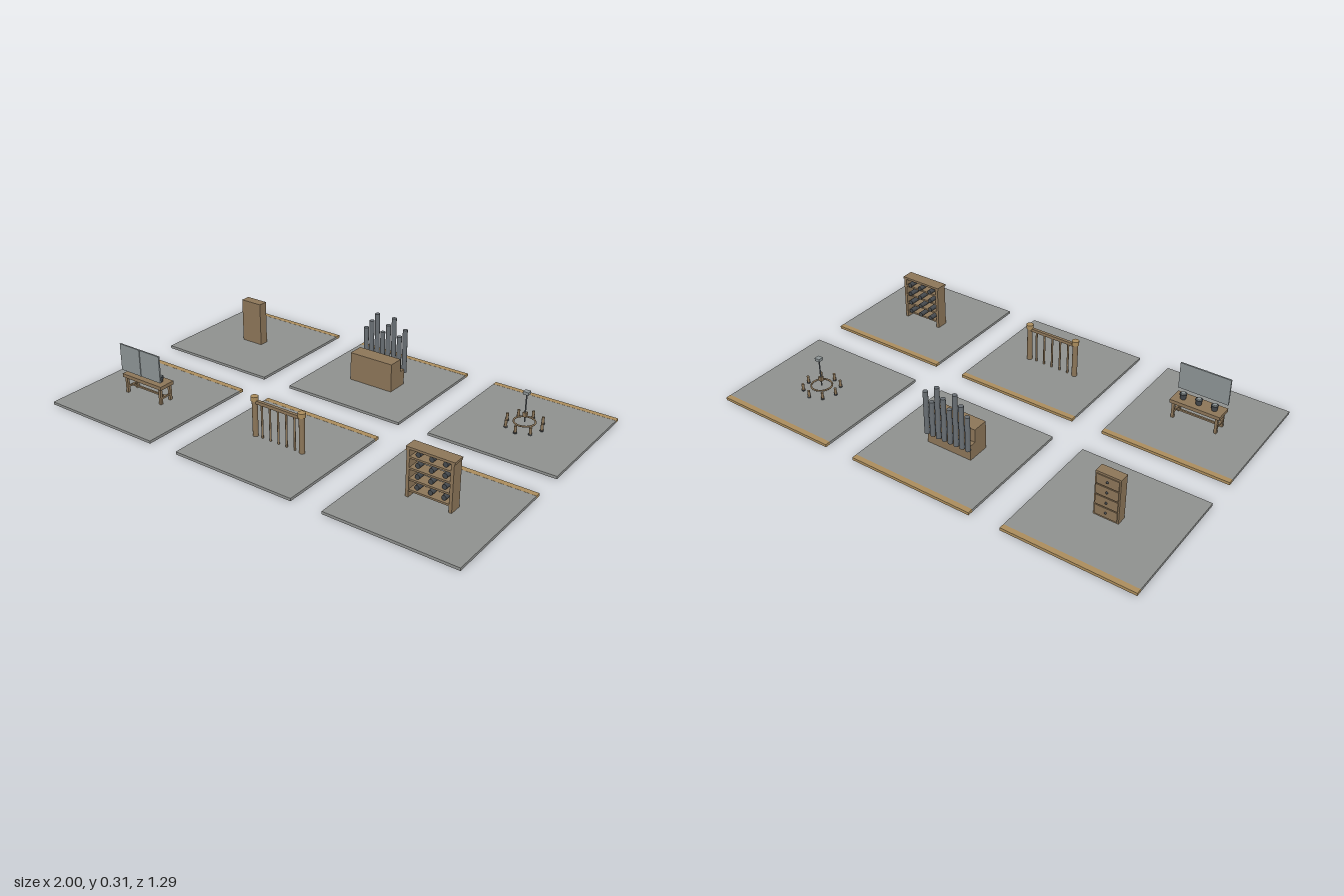
import * as THREE from 'three';

const mat = (name, color) => {
  const m = new THREE.MeshStandardMaterial({ color });
  m.name = name;
  return m;
};

export function createModel() {
  const stone = mat('stone grey', 0x8e908e);
  const wood = mat('brown wood', 0x8b7558);
  const tan = mat('tan wood', 0xaa8c5c);
  const metal = mat('pipe metal', 0x676d72);
  const dark = mat('dark glass', 0x45494d);
  const pale = mat('pale panel', 0x8b9394);
  const root = new THREE.Group();
  const G = 0.012; // top of the base plates

  const add = (parent, name, geo, material, x, y, z) => {
    const mesh = new THREE.Mesh(geo, material);
    mesh.name = name;
    mesh.position.set(x, y, z);
    parent.add(mesh);
    return mesh;
  };
  // Box given by its bottom height and its centre in x and z
  const box = (p, name, m, w, h, d, x, y, z) =>
    add(p, name, new THREE.BoxGeometry(w, h, d), m, x, y + h / 2, z);
  // Upright cylinder given by its bottom height
  const cyl = (p, name, m, r, h, x, y, z, r2 = r, n = 12) =>
    add(p, name, new THREE.CylinderGeometry(r2, r, h, n), m, x, y + h / 2, z);
  const station = (name, col, row) => {
    const g = new THREE.Group();
    g.name = name;
    g.position.set(col * 0.714, 0, row * 0.358);
    box(g, 'basePlate', stone, 0.572, G, 0.546, 0, 0, 0.012);
    box(g, 'edgeStrip', tan, 0.572, G + 0.0005, 0.024, 0, 0, -0.273);
    root.add(g);
    return g;
  };

  // Chest of drawers, drawers towards the back
  const chest = station('drawerChest', -1, -1);
  box(chest, 'chestBody', wood, 0.108, 0.204, 0.044, -0.003, G, 0.002);
  for (let i = 0; i < 4; i++) {
    const y = G + 0.008 + i * 0.048;
    box(chest, 'drawerFront', wood, 0.096, 0.043, 0.004, -0.003, y, -0.022);
    add(chest, 'drawerKnob', new THREE.SphereGeometry(0.005, 10, 8), dark, -0.003, y + 0.022, -0.025);
  }

  // Organ case with a lower ledge and a row of pipes
  const organ = station('pipeOrgan', 0, -1);
  box(organ, 'organCase', wood, 0.214, 0.13, 0.072, 0, G, 0.036);
  box(organ, 'organLedge', wood, 0.214, 0.07, 0.03, 0, G, -0.015);
  for (let i = 0; i < 8; i++) {
    const top = [0.227, 0.266, 0.306][i % 3];
    cyl(organ, 'organPipe', metal, 0.0108, top - 0.064, (i - 3.5) * 0.029, 0.064, -0.039, 0.0108, 14);
  }

  // Wheel chandelier with eight candle holders
  const lamp = station('chandelier', 1, -1);
  cyl(lamp, 'stem', metal, 0.003, 0.13, 0, 0.03, 0);
  box(lamp, 'ceilingBlock', pale, 0.024, 0.013, 0.024, 0, 0.157, 0);
  box(lamp, 'hubBlock', wood, 0.016, 0.02, 0.016, 0, 0.054, 0);
  const ring = add(lamp, 'wheelRing', new THREE.TorusGeometry(0.045, 0.004, 8, 32), wood, 0, 0.031, 0);
  ring.rotation.x = Math.PI / 2;
  for (let i = 0; i < 8; i++) {
    const a = (i * Math.PI) / 4;
    const x = 0.079 * Math.cos(a), z = 0.079 * Math.sin(a);
    cyl(lamp, 'candle', wood, 0.006, 0.03, x, 0.015, z);
    cyl(lamp, 'candleCup', dark, 0.008, 0.005, x, G, z);
  }

  // Side table with three pots and an upright panel
  const table = station('displayTable', -1, 1);
  box(table, 'tableTop', wood, 0.226, 0.016, 0.078, 0, 0.084, 0);
  for (const sx of [-1, 1]) {
    for (const sz of [-1, 1]) box(table, 'tableLeg', wood, 0.012, 0.073, 0.012, sx * 0.098, G, sz * 0.028);
    box(table, 'endRail', wood, 0.008, 0.008, 0.056, sx * 0.098, 0.034, 0);
  }
  box(table, 'stretcher', wood, 0.196, 0.008, 0.008, 0, 0.034, 0);
  for (const x of [-0.071, 0, 0.071]) {
    cyl(table, 'pot', dark, 0.012, 0.024, x, 0.1, -0.002, 0.016);
    cyl(table, 'potLid', pale, 0.012, 0.004, x, 0.124, -0.002, 0.01);
  }
  box(table, 'uprightPanel', pale, 0.227, 0.122, 0.007, 0, 0.119, 0.036);
  box(table, 'panelBar', pale, 0.006, 0.122, 0.004, 0, 0.119, 0.0405);

  // Balustrade
  const fence = station('balustrade', 0, 1);
  for (const s of [-1, 1]) {
    cyl(fence, 'fencePost', wood, 0.012, 0.16, s * 0.118, G, -0.002);
    cyl(fence, 'postCap', tan, 0.016, 0.02, s * 0.118, 0.17, -0.002);
  }
  box(fence, 'handRail', wood, 0.236, 0.014, 0.014, 0, 0.16, -0.002);
  for (let i = -2; i <= 2; i++) cyl(fence, 'baluster', wood, 0.0045, 0.15, i * 0.041, G, -0.002);

  // Open rack with rows of bottles pointing backwards
  const rack = station('bottleRack', 1, 1);
  for (const s of [-1, 1]) box(rack, 'rackSide', wood, 0.013, 0.202, 0.054, -0.003 + s * 0.092, G, -0.004);
  box(rack, 'rackTop', wood, 0.204, 0.01, 0.055, -0.003, 0.212, -0.004);
  for (let r = 0; r < 4; r++) {
    const y = 0.056 + r * 0.0458;
    box(rack, 'rackShelf', wood, 0.174, 0.008, 0.052, -0.003, y - 0.0185, -0.004);
    for (const x of [-0.06, -0.003, 0.054]) {
      const bottle = add(rack, 'bottle', new THREE.CylinderGeometry(0.0105, 0.0105, 0.052, 12), dark, x, y, -0.015);
      bottle.rotation.x = Math.PI / 2;
    }
  }
  return root;
}
